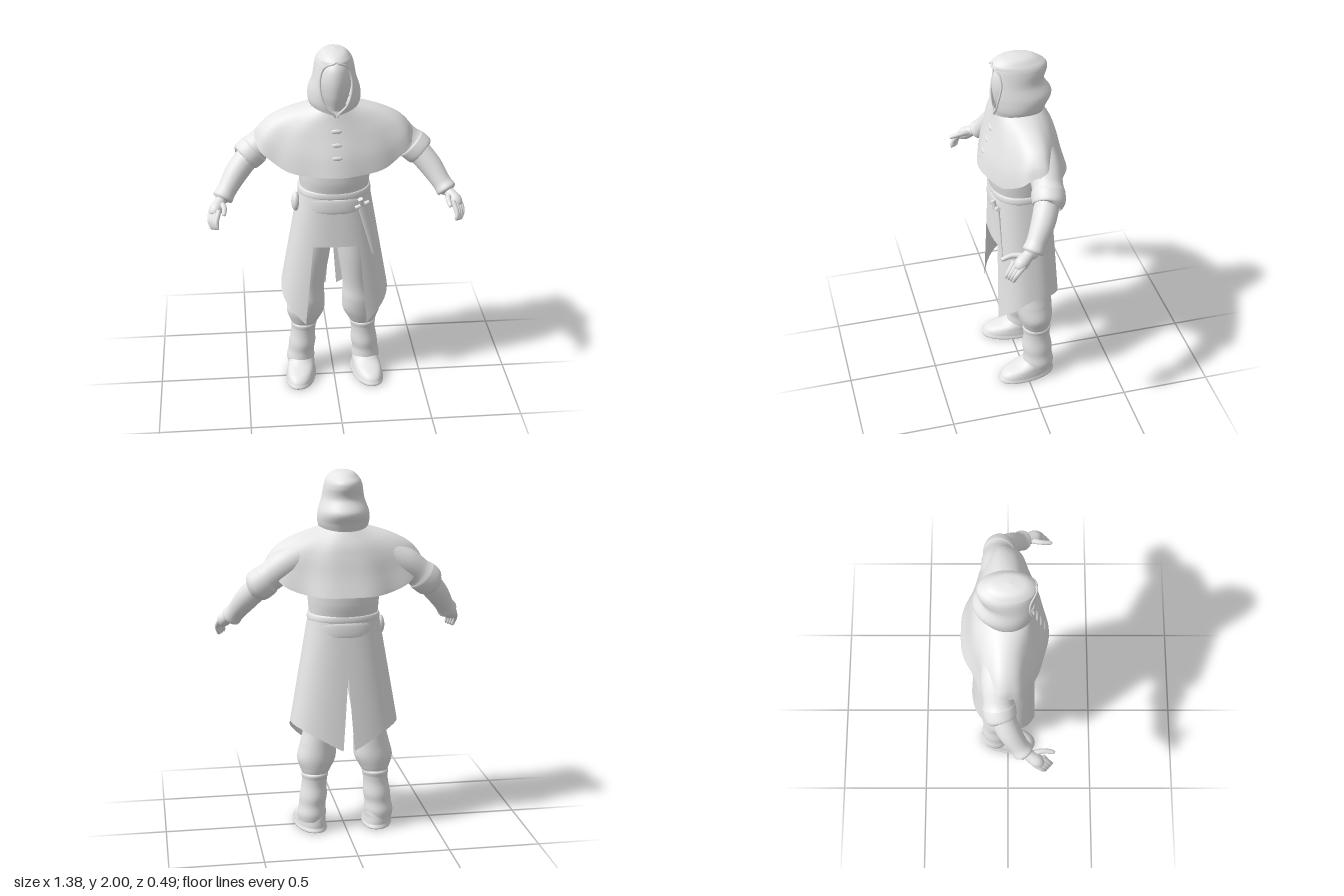
import * as THREE from 'three';
import { ParametricGeometry } from 'three/addons/geometries/ParametricGeometry.js';

const { sin, cos, abs, sign, PI, max, min, asin } = Math;

// Smooth interpolation through rows of numbers, t in 0..1
function profile(rows) {
  return (t) => {
    const n = rows.length - 1, f = min(max(t, 0), 1) * n, i = min(Math.floor(f), n - 1), k = f - i;
    const at = (j) => rows[min(max(j, 0), n)];
    return rows[0].map((_, c) => {
      const a = at(i - 1)[c], b = at(i)[c], d = at(i + 1)[c], e = at(i + 2)[c];
      return b + 0.5 * k * (d - a + k * (2 * a - 5 * b + 4 * d - e + k * (3 * (b - d) + e - a)));
    });
  };
}

// Point on a horizontal oval ring [y, xCentre, halfWidth, zFront, zBack]; angle 0 faces front
function ringPoint([y, xc, w, zf, zb], a, p, target) {
  const s = sin(a), c = cos(a);
  return target.set(xc + w * sign(s) * abs(s) ** p, y, (zf + zb) / 2 + ((zf - zb) / 2) * sign(c) * abs(c) ** p);
}

export function createModel() {
  const model = new THREE.Group();
  model.name = 'hoodedFigure';
  const clay = new THREE.MeshStandardMaterial({ color: 0xe6e6e6, side: THREE.DoubleSide });
  clay.name = 'light grey';

  const add = (name, geometry) => {
    const mesh = new THREE.Mesh(geometry, clay);
    mesh.name = name;
    model.add(mesh);
    return mesh;
  };
  const surface = (name, fn, nu, nv) => add(name, new ParametricGeometry(fn, nu, nv));

  // Stack of oval rings, listed from the bottom up
  const stack = (name, rows, { p = 1, nu = 40, adjust } = {}) => {
    const at = profile(rows);
    return surface(name, (u, v, target) => {
      ringPoint(at(v), u * 2 * PI, p, target);
      if (adjust) adjust(target);
    }, nu, (rows.length - 1) * 5);
  };

  // Round limb through points [x, y, z, radius]; side mirrors it
  const limb = (name, side, rows, nu = 20) => {
    const at = profile(rows), ref = new THREE.Vector3(0.8 * side, 0.6, 0);
    const centre = (t) => { const q = at(t); return new THREE.Vector3(q[0] * side, q[1], q[2]); };
    return surface(name, (u, v, target) => {
      const T = centre(v + 0.01).sub(centre(v - 0.01)).normalize();
      const n = ref.clone().cross(T).normalize(), b = T.clone().cross(n), r = at(v)[3], a = u * 2 * PI;
      target.copy(centre(v)).addScaledVector(n, r * cos(a)).addScaledVector(b, r * sin(a));
    }, nu, (rows.length - 1) * 5);
  };

  // Head and hood
  stack('face', [
    [1.62, 0, 0.045, 0.08, -0.06], [1.69, 0, 0.06, 0.105, -0.1], [1.76, 0, 0.08, 0.128, -0.1],
    [1.84, 0, 0.09, 0.135, -0.1], [1.91, 0, 0.077, 0.12, -0.1], [1.95, 0, 0.045, 0.08, -0.08], [1.965, 0, 0.003, 0.01, -0.01],
  ], { p: 1.06 });

  // The sixth number is the half width of the face opening
  const hoodAt = profile([
    [1.63, 0, 0.12, 0.12, -0.12, 0], [1.67, 0, 0.12, 0.127, -0.13, 0.01], [1.72, 0, 0.138, 0.14, -0.15, 0.055],
    [1.78, 0, 0.137, 0.15, -0.177, 0.078], [1.85, 0, 0.115, 0.152, -0.138, 0.083], [1.91, 0, 0.104, 0.147, -0.153, 0.069],
    [1.94, 0, 0.096, 0.142, -0.15, 0.046], [1.962, 0, 0.083, 0.135, -0.125, 0], [1.988, 0, 0.055, 0.092, -0.075, 0],
    [2, 0, 0.0005, 0.011, 0.01, 0],
  ]);
  const openAngle = (q) => asin(min(max(q[5], 0) / q[2], 1));
  surface('hood', (u, v, target) => {
    const q = hoodAt(v), a0 = openAngle(q);
    ringPoint(q, a0 + u * (2 * PI - 2 * a0), 1, target);
  }, 48, 63);
  const rim = [];
  for (let i = 0; i <= 40; i++) {
    const side = i <= 20 ? 1 : -1, k = i <= 20 ? i / 20 : (40 - i) / 20;
    const q = hoodAt((0.6 + k * 6.4) / 9);
    rim.push(ringPoint(q, side * openAngle(q), 1, new THREE.Vector3()));
  }
  add('hoodRim', new THREE.TubeGeometry(new THREE.CatmullRomCurve3(rim), 90, 0.006, 8));

  // Shoulder cape; the sixth number is the height at the sides
  const capeAt = profile([
    [1.35, 0, 0.43, 0.212, -0.252, 1.51], [1.45, 0, 0.4, 0.19, -0.22, 1.565], [1.55, 0, 0.345, 0.158, -0.195, 1.618],
    [1.62, 0, 0.25, 0.138, -0.172, 1.665], [1.69, 0, 0.12, 0.122, -0.13, 1.705],
  ]);
  surface('cape', (u, v, target) => {
    const q = capeAt(v), a = u * 2 * PI;
    ringPoint(q, a, 0.95, target);
    target.y += (q[5] - q[0]) * sin(a) ** 4;
    target.x *= 1 + 0.015 * (1 - v) * cos(11 * a);
    target.z *= (1 + 0.015 * (1 - v) * cos(11 * a)) * (1 - 0.17 * (1 - v) * sin(2 * a) ** 2);
  }, 96, 24);
  [[1.585, 0.146], [1.515, 0.167], [1.45, 0.188]].forEach(([y, z]) => {
    const toggle = add('capeToggle', new THREE.SphereGeometry(1, 16, 10));
    toggle.scale.set(0.03, 0.013, 0.008);
    toggle.position.set(0, y, z);
  });

  // Torso and belts
  stack('tunic', [
    [1.12, 0, 0.185, 0.145, -0.16], [1.2, 0, 0.186, 0.15, -0.165], [1.3, 0, 0.193, 0.167, -0.185],
    [1.4, 0, 0.2, 0.16, -0.185], [1.55, 0, 0.22, 0.11, -0.155], [1.65, 0, 0.1, 0.09, -0.1],
  ], { p: 0.9 });
  const belt = (name, y0, y1, g) => stack(name, [
    [y0, 0, 0.18, 0.14, -0.155], [y0 + 0.004, 0, 0.195 + g, 0.154 + g, -0.17 - g],
    [y1 - 0.004, 0, 0.19 + g, 0.152 + g, -0.168 - g], [y1, 0, 0.175, 0.135, -0.15],
  ], { p: 0.85 });
  belt('upperBelt', 1.195, 1.235, 0.003);
  belt('sash', 1.115, 1.195, 0.006);

  // Coat skirt panels, each hanging from the waist to its own hem
  const panel = (name, angle, hem, nu = 20) => surface(name, (u, v, target) => {
    const y = hem(u) + v * (1.2 - hem(u)), k = (1.2 - y) / 0.6;
    ringPoint([y, 0, 0.195 + 0.105 * k, 0.154 + 0.014 * k, -0.17 - 0.035 * k], angle(u, y), 0.8, target);
  }, nu, 24);
  const frontEdge = 0.455, slit = (y) => 0.054 * max(0, 0.9 - y) / 0.41;
  panel('skirtFront', (u) => (u * 2 - 1) * frontEdge, () => 0.915);
  const sideHem = (k) => 0.43 + 0.19 * k ** 0.8;
  const backHem = (k) => 0.62 - 0.13 * k ** 2.5;
  panel('skirtLeftSide', (u) => frontEdge + u * (PI / 2 - frontEdge), sideHem);
  panel('skirtRightSide', (u) => -PI / 2 + u * (PI / 2 - frontEdge), (u) => sideHem(1 - u));
  panel('skirtLeftBack', (u, y) => PI / 2 + u * (PI / 2 - slit(y)), backHem);
  panel('skirtRightBack', (u, y) => PI + slit(y) + u * (PI / 2 - slit(y)), (u) => backHem(1 - u));

  // Belt pouch
  const pouch = add('pouch', new THREE.SphereGeometry(1, 20, 14));
  pouch.scale.set(0.025, 0.055, 0.04);
  pouch.position.set(-0.211, 1.14, 0.03);

  // Dagger in its sheath
  const rod = (name, a, b, r0, r1, flat, sides) => {
    const from = new THREE.Vector3(...a), to = new THREE.Vector3(...b), dir = to.clone().sub(from);
    const mesh = add(name, new THREE.CylinderGeometry(r1, r0, dir.length(), sides));
    mesh.position.copy(from).add(to).multiplyScalar(0.5);
    mesh.quaternion.setFromUnitVectors(new THREE.Vector3(0, 1, 0), dir.normalize());
    mesh.scale.z = flat;
  };
  rod('daggerSheath', [0.14, 1.16, 0.155], [0.207, 0.865, 0.143], 0.03, 0.012, 0.4, 16);
  rod('daggerGuard', [0.1, 1.15, 0.165], [0.175, 1.178, 0.15], 0.011, 0.011, 1, 12);
  rod('daggerGrip', [0.14, 1.16, 0.16], [0.125, 1.205, 0.17], 0.012, 0.015, 1, 12);

  for (const s of [1, -1]) {
    const label = s > 0 ? 'left' : 'right';

    // Arms
    limb(label + 'UpperSleeve', s, [
      [0.2, 1.56, -0.05, 0.085], [0.32, 1.5, -0.055, 0.087], [0.405, 1.44, -0.05, 0.08],
      [0.43, 1.42, -0.047, 0.087], [0.475, 1.383, -0.038, 0.083], [0.485, 1.375, -0.034, 0.055],
    ], 28);
    limb(label + 'ForearmSleeve', s, [
      [0.43, 1.42, -0.05, 0.066], [0.52, 1.32, 0, 0.063], [0.58, 1.235, 0.055, 0.052],
      [0.605, 1.2, 0.08, 0.055], [0.608, 1.195, 0.083, 0.025],
    ], 24);

    // Hands
    limb(label + 'Palm', s, [
      [0.6, 1.21, 0.075, 0.026], [0.62, 1.19, 0.11, 0.031], [0.643, 1.165, 0.15, 0.036], [0.657, 1.148, 0.175, 0.022], [0.66, 1.145, 0.18, 0.002],
    ]);
    for (let i = 0; i < 4; i++) {
      const k = i / 3;
      limb(label + 'Finger', s, [
        [0.665 - 0.04 * k, 1.165 + 0.01 * k, 0.14 + 0.04 * k, 0.014], [0.677 - 0.035 * k, 1.125, 0.18 + 0.035 * k, 0.013],
        [0.668 - 0.03 * k, 1.085 + 0.01 * k, 0.197 + 0.03 * k, 0.01], [0.664 - 0.03 * k, 1.073 + 0.01 * k, 0.198 + 0.03 * k, 0.001],
      ], 10);
    }
    limb(label + 'Thumb', s, [
      [0.615, 1.185, 0.12, 0.018], [0.598, 1.19, 0.18, 0.014], [0.6, 1.178, 0.235, 0.011], [0.602, 1.175, 0.245, 0.001],
    ], 10);

    // Baggy trousers, boots and shoes
    const mirror = (rows) => rows.map(([y, x, ...r]) => [y, x * s, ...r]);
    stack(label + 'TrouserLeg', mirror([
      [0.32, 0.17, 0.066, 0, -0.135], [0.36, 0.166, 0.085, 0.02, -0.147], [0.42, 0.16, 0.107, 0.04, -0.156],
      [0.5, 0.15, 0.099, 0.055, -0.155], [0.6, 0.14, 0.088, 0.06, -0.155], [0.8, 0.122, 0.1, 0.09, -0.16], [0.98, 0.1, 0.1, 0.1, -0.155],
    ]));
    stack(label + 'Boot', mirror([
      [0.06, 0.19, 0.076, 0.01, -0.155], [0.1, 0.19, 0.08, 0.015, -0.16], [0.15, 0.186, 0.074, 0.012, -0.152],
      [0.2, 0.18, 0.076, 0.016, -0.153], [0.26, 0.175, 0.07, 0.01, -0.143], [0.3, 0.172, 0.07, 0.01, -0.143],
      [0.33, 0.17, 0.074, 0.014, -0.148], [0.345, 0.17, 0.055, 0, -0.13],
    ]));
    stack(label + 'Shoe', mirror([
      [0, 0.193, 0.002, 0, -0.004], [0, 0.193, 0.08, 0.152, -0.157], [0.03, 0.193, 0.081, 0.156, -0.16],
      [0.06, 0.193, 0.077, 0.125, -0.157], [0.09, 0.192, 0.072, 0.045, -0.15], [0.12, 0.19, 0.06, 0, -0.135],
    ]), {
      p: 0.9,
      adjust: (q) => { q.y = max(q.y, 0); q.x += s * 0.12 * q.z; },
    });
  }
  return model;
}
